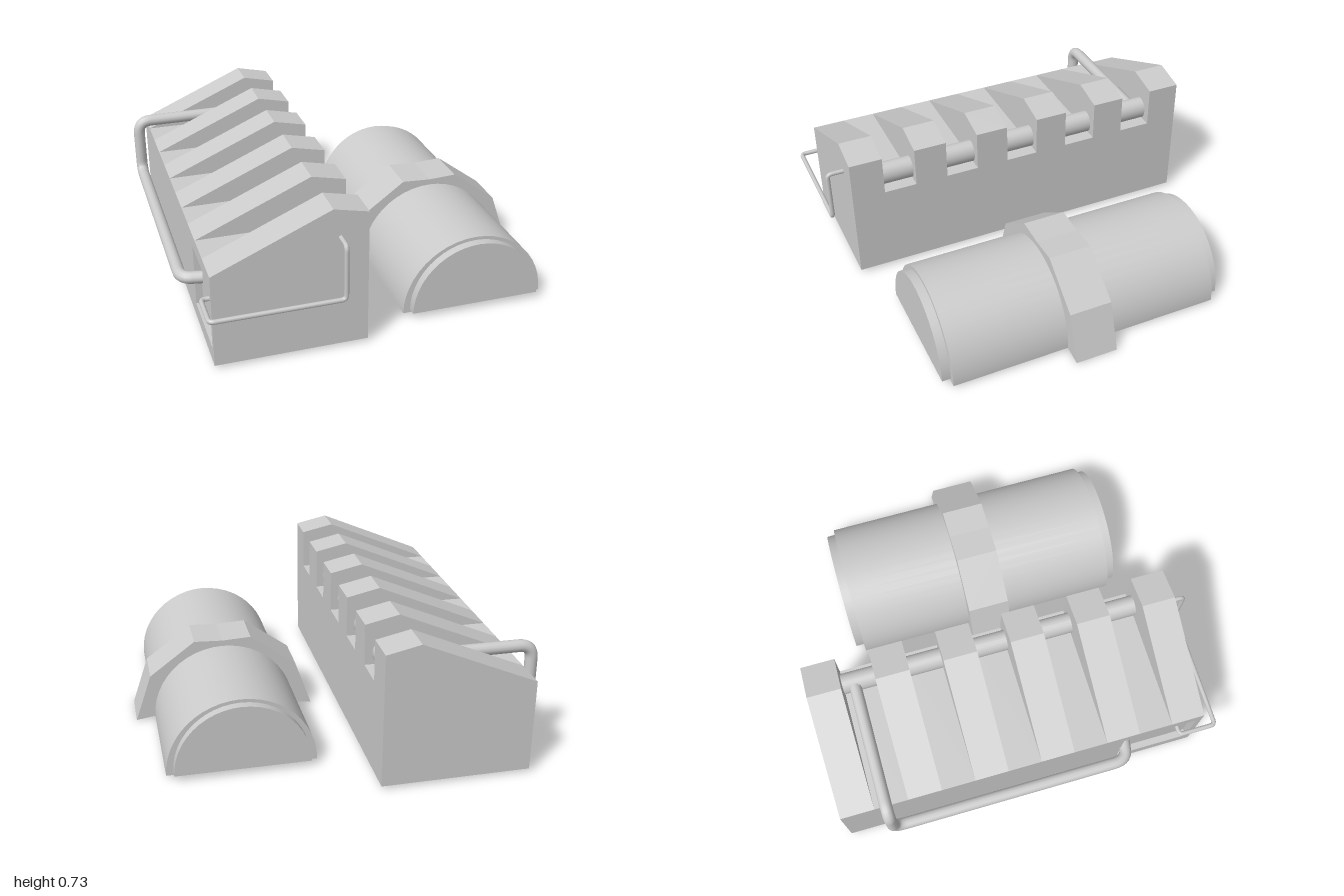
import * as THREE from 'three';
import { mergeGeometries } from 'three/addons/utils/BufferGeometryUtils.js';

const flat = new THREE.MeshStandardMaterial({ color: 0xcccccc, flatShading: true, side: THREE.DoubleSide });
const smooth = new THREE.MeshStandardMaterial({ color: 0xcccccc, side: THREE.DoubleSide });

const v2 = (points) => points.map(([x, y]) => new THREE.Vector2(x, y));

// Open skin: a polyline swept along z
function sheet(points, z0, z1) {
  const pos = [];
  for (let i = 0; i < points.length - 1; i++) {
    const [ax, ay] = points[i], [bx, by] = points[i + 1];
    pos.push(ax, ay, z0, ax, ay, z1, bx, by, z1, ax, ay, z0, bx, by, z1, bx, by, z0);
  }
  const g = new THREE.BufferGeometry();
  g.setAttribute('position', new THREE.Float32BufferAttribute(pos, 3));
  g.computeVertexNormals();
  return g;
}

// Flat face at a given z, with an optional hole
function face(points, z, hole) {
  const shape = new THREE.Shape(v2(points));
  if (hole) shape.holes.push(new THREE.Path(v2(hole)));
  const g = new THREE.ShapeGeometry(shape).toNonIndexed().translate(0, 0, z);
  g.deleteAttribute('uv');
  return g;
}

function add(parent, name, geometry, material) {
  const mesh = new THREE.Mesh(geometry, material);
  mesh.name = name;
  parent.add(mesh);
  return mesh;
}

// Bent pipe: straight runs joined by short rounded corners
function pipe(points, radius, bend, sides) {
  const p = points.map((a) => new THREE.Vector3(...a));
  const path = new THREE.CurvePath();
  let from = p[0];
  for (let i = 1; i < p.length - 1; i++) {
    const cut = (q) => p[i].clone().add(q.clone().sub(p[i]).setLength(Math.min(bend, q.distanceTo(p[i]) * 0.5)));
    const a = cut(p[i - 1]), b = cut(p[i + 1]);
    path.add(new THREE.LineCurve3(from, a));
    path.add(new THREE.QuadraticBezierCurve3(a, p[i], b));
    from = b;
  }
  path.add(new THREE.LineCurve3(from, p[p.length - 1]));
  return new THREE.TubeGeometry(path, 150, radius, sides);
}

function buildHousing() {
  const group = new THREE.Group();
  group.name = 'housing';
  const L = -0.86, R = -0.12, base = 0.02, eave = 0.49;
  const roof = [[R, eave], [R, 0.7], [-0.29, 0.737], [L, eave]];
  const zBack = -1, zFront = 0.9, step = (zFront - zBack) / 11;
  const parts = [];

  // Eleven slices: raised teeth alternate with flat notches, open underneath
  for (let i = 0; i < 11; i++) {
    const z0 = zBack + i * step, z1 = z0 + step;
    parts.push(sheet([[R, base], ...(i % 2 ? [[R, eave], [L, eave]] : roof)], z0, z1));
    if (i > 0) parts.push(face(roof, z0));
  }
  for (const z of [zBack, zFront]) parts.push(face([[L, base], [R, base], ...roof], z));

  // Side wall with a shallow recessed pocket
  const pocket = [[0.48, 0.1], [0.87, 0.1], [0.87, 0.42], [0.48, 0.42]];
  const wall = [[zBack, base], [zFront, base], [zFront, eave], [zBack, eave]];
  const side = [face(wall, -L, pocket), sheet([...pocket, pocket[0]], -L, -L - 0.035), face(pocket, -L - 0.035)];
  side.forEach((g) => parts.push(g.rotateY(-Math.PI / 2)));
  add(group, 'toothedShell', mergeGeometries(parts), flat);

  // Rod lying through the notches
  const rod = new THREE.CylinderGeometry(0.06, 0.06, 1.554, 24).rotateX(Math.PI / 2).scale(0.87, 1, 1);
  add(group, 'notchRod', rod.translate(-0.21, 0.548, -0.05), smooth);

  // Thick pipe along the side and thin wire round the front
  add(group, 'sidePipe', pipe([
    [-0.24, 0.567, -0.765], [-0.928, 0.567, -0.765], [-0.928, 0.262, -0.765],
    [-0.928, 0.262, 0.49], [-0.825, 0.262, 0.51],
  ], 0.031, 0.07, 12), smooth);
  add(group, 'frontWire', pipe([
    [-0.255, 0.59, 0.88], [-0.255, 0.59, 0.985], [-0.255, 0.315, 0.985],
    [-0.887, 0.315, 0.985], [-0.887, 0.315, 0.79], [-0.825, 0.315, 0.79],
  ], 0.012, 0.025, 8), smooth);
  return group;
}

function buildHalfBarrel() {
  const group = new THREE.Group();
  group.name = 'halfBarrel';
  const cx = 0.487, base = 0.018;
  const halfTube = (r, y, z0, z1) =>
    new THREE.CylinderGeometry(r, r, z1 - z0, 24, 1, true, Math.PI / 2, Math.PI)
      .rotateX(Math.PI / 2).translate(cx, y, (z0 + z1) / 2);
  const arc = (r, y) => Array.from({ length: 25 }, (_, i) => {
    const a = (i / 24) * Math.PI;
    return [cx + r * Math.cos(a), y + r * Math.sin(a)];
  });

  // Hollow half cylinder with a stepped cap at each end
  add(group, 'barrelShell', halfTube(0.37, base, -0.683, 0.752), smooth);
  for (const [inner, outer] of [[-0.683, -0.728], [0.752, 0.797]]) {
    add(group, 'endWall', face(arc(0.37, base), inner), flat);
    add(group, 'capRim', halfTube(0.335, 0.036, Math.min(inner, outer), Math.max(inner, outer)), smooth);
    add(group, 'capFace', face(arc(0.335, 0.036), outer), flat);
    add(group, 'capUnderside', sheet([[cx - 0.335, 0.036], [cx + 0.335, 0.036]], inner, outer), flat);
  }

  // Faceted strap with splayed feet
  const outline = [[0.015, 0.003], [0.1, 0.25], [0.337, 0.425], [cx, 0.418], [0.633, 0.425], [0.87, 0.25], [0.955, 0.003]];
  const strap = new THREE.Shape(v2([...outline, ...arc(0.362, base)]));
  const geometry = new THREE.ExtrudeGeometry(strap, { depth: 0.222, bevelEnabled: false });
  add(group, 'strap', geometry.translate(0, 0, -0.075), flat);
  return group;
}

export function createModel() {
  const model = new THREE.Group();
  model.name = 'housingAndBarrel';
  model.add(buildHousing(), buildHalfBarrel());
  return model;
}
